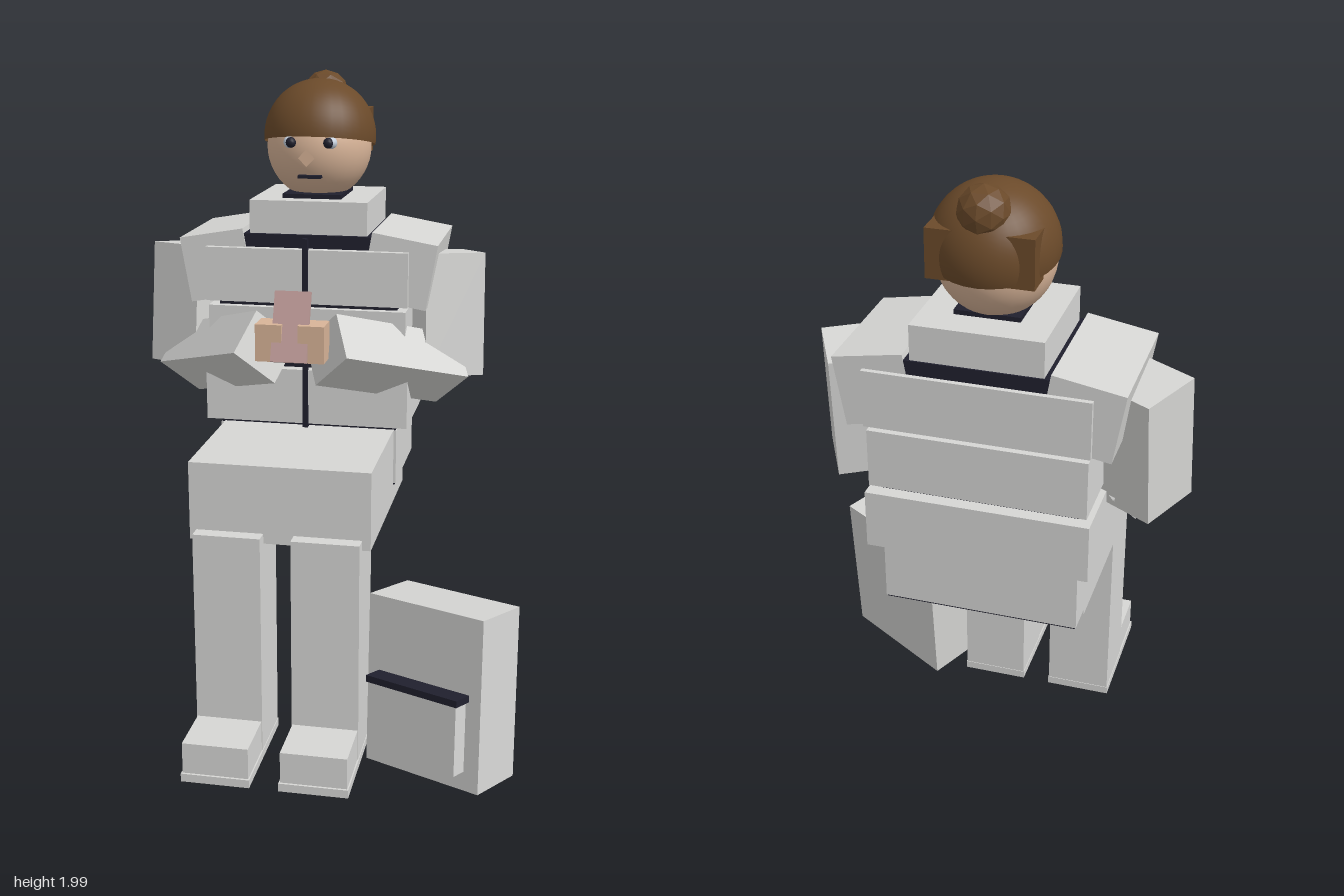
import * as THREE from 'three';

export function createModel() {
  const model = new THREE.Group();
  const mat = (name, color, extra = {}) => {
    const m = new THREE.MeshStandardMaterial({ color, ...extra });
    m.name = name;
    return m;
  };
  const cloth = mat('pale grey cloth', 0xd6d6d4);
  const trim = mat('dark navy trim', 0x20202e);
  const skin = mat('skin', 0xd8b498);
  const hair = mat('brown hair', 0x6b4a2a, { side: THREE.DoubleSide });
  const phoneMat = mat('dusty pink', 0xbd9a97);
  const eyeWhite = mat('eye white', 0xc9d3e0);
  const MID = -0.085; // x of the figure's own centre line

  const add = (name, geo, material, x, y, z, parent = model) => {
    const mesh = new THREE.Mesh(geo, material);
    mesh.name = name;
    mesh.position.set(x, y, z);
    parent.add(mesh);
    return mesh;
  };
  // box given by its lower and upper limits on each axis
  const block = (name, material, x0, x1, y0, y1, z0, z1) =>
    add(name, new THREE.BoxGeometry(x1 - x0, y1 - y0, z1 - z0), material,
      (x0 + x1) / 2, (y0 + y1) / 2, (z0 + z1) / 2);
  // turn an object so that its x and y axes follow the given directions
  const orient = (obj, xDir, yDir) => {
    const u = new THREE.Vector3(...xDir).normalize();
    const v = new THREE.Vector3(...yDir);
    v.addScaledVector(u, -v.dot(u)).normalize();
    const w = new THREE.Vector3().crossVectors(u, v);
    obj.quaternion.setFromRotationMatrix(new THREE.Matrix4().makeBasis(u, v, w));
    return obj;
  };

  // padded jacket: dark core with three quilted bands
  block('jacketCore', trim, -0.36, 0.19, 0.757, 1.5, -0.48, -0.125);
  for (const [y0, y1, g] of [[0.95, 1.12, 0.004], [1.14, 1.31, -0.006], [1.325, 1.49, 0]]) {
    block('jacketBand', cloth, -0.395 - g, 0.225 + g, y0, y1, -0.515 - g, -0.095 + g);
  }
  block('jacketHem', cloth, -0.363, 0.193, 0.762, 0.932, -0.483, -0.122);
  block('zip', trim, MID - 0.008, MID + 0.008, 0.94, 1.525, -0.1, -0.082);
  block('yoke', trim, -0.29, 0.12, 1.49, 1.53, -0.5, -0.122);
  block('collar', cloth, -0.265, 0.095, 1.53, 1.63, -0.495, -0.135);
  block('neck', trim, MID - 0.09, MID + 0.09, 1.55, 1.643, -0.4, -0.19);

  // seated lap, legs and shoes
  block('lap', cloth, -0.35, 0.185, 0.7, 0.935, -0.335, 0.3);
  for (const s of [-1, 1]) {
    const x = MID + s * 0.145;
    block('leg', cloth, x - 0.1, x + 0.1, 0.055, 0.73, 0.14, 0.345);
    block('shoe', cloth, x - 0.098, x + 0.098, 0.055, 0.15, 0.142, 0.515);
    block('sole', cloth, x - 0.102, x + 0.102, 0.03, 0.055, 0.138, 0.522);
  }

  // arms, mirrored about the figure's centre line
  for (const s of [-1, 1]) {
    const mx = (x) => MID + s * (x - MID);
    const shoulder = add('shoulder', new THREE.BoxGeometry(0.2, 0.2, 0.385), cloth, mx(0.195), 1.43, -0.308);
    shoulder.rotation.z = -s * 0.17;
    orient(add('upperArm', new THREE.BoxGeometry(0.185, 0.375, 0.19), cloth, mx(0.315), 1.277, -0.283),
      [s * 0.085, 0.02, 0.16], [s * -0.02, 0.365, -0.065]);
    orient(add('forearm', new THREE.BoxGeometry(0.463, 0.15, 0.164), cloth, mx(0.167), 1.163, -0.105),
      [s * 0.322, -0.12, -0.31], [s * -0.05, 0.11, -0.09]);
    add('hand', new THREE.BoxGeometry(0.078, 0.11, 0.085), skin, mx(-0.022), 1.256, 0.094);
  }
  const phone = add('phone', new THREE.BoxGeometry(0.107, 0.208, 0.014), phoneMat, MID, 1.302, 0.113);
  phone.rotation.x = -0.36;

  // head and face
  add('head', new THREE.SphereGeometry(0.16, 32, 24), skin, MID, 1.775, -0.315);
  for (const s of [-1, 1]) {
    add('eyeWhite', new THREE.SphereGeometry(0.018, 12, 8), eyeWhite, MID + s * 0.064, 1.8, -0.174);
    add('pupil', new THREE.SphereGeometry(0.016, 12, 8), trim, MID + s * 0.057, 1.8, -0.163);
  }
  const nose = add('nose', new THREE.ConeGeometry(0.025, 0.045, 4).toNonIndexed(), skin, MID, 1.76, -0.135);
  nose.geometry.computeVertexNormals();
  nose.rotation.x = -Math.PI / 2;
  block('mouth', trim, MID - 0.035, MID + 0.035, 1.695, 1.704, -0.185, -0.152);

  // hair: tilted cap, bun and side tufts
  const cap = add('hairCap', new THREE.SphereGeometry(0.172, 32, 18, 0, Math.PI * 2, 0, Math.PI * 0.54),
    hair, MID, 1.806, -0.327);
  cap.rotation.x = -0.2;
  for (const s of [-1, 1]) {
    const x = MID + s * 0.1;
    block('hairTuft', hair, x - 0.043, x + 0.043, 1.75, 1.885, -0.463, -0.375);
  }
  const bun = new THREE.IcosahedronGeometry(0.071, 1);
  bun.computeVertexNormals();
  add('bun', bun, hair, MID, 1.927, -0.418);

  // bag leaning beside the legs
  const bag = new THREE.Group();
  bag.name = 'bag';
  bag.position.set(0.392, 0.282, 0.26);
  orient(bag, [0.35, 0.025, 0.19], [0, 0.51, -0.06]);
  model.add(bag);
  add('bagBody', new THREE.BoxGeometry(0.4, 0.513, 0.185), cloth, 0, 0, 0, bag);
  add('bagPocket', new THREE.BoxGeometry(0.3, 0.21, 0.055), cloth, 0, -0.095, 0.115, bag);
  add('pocketFlap', new THREE.BoxGeometry(0.32, 0.02, 0.066), trim, 0, 0.02, 0.122, bag);

  return model;
}
